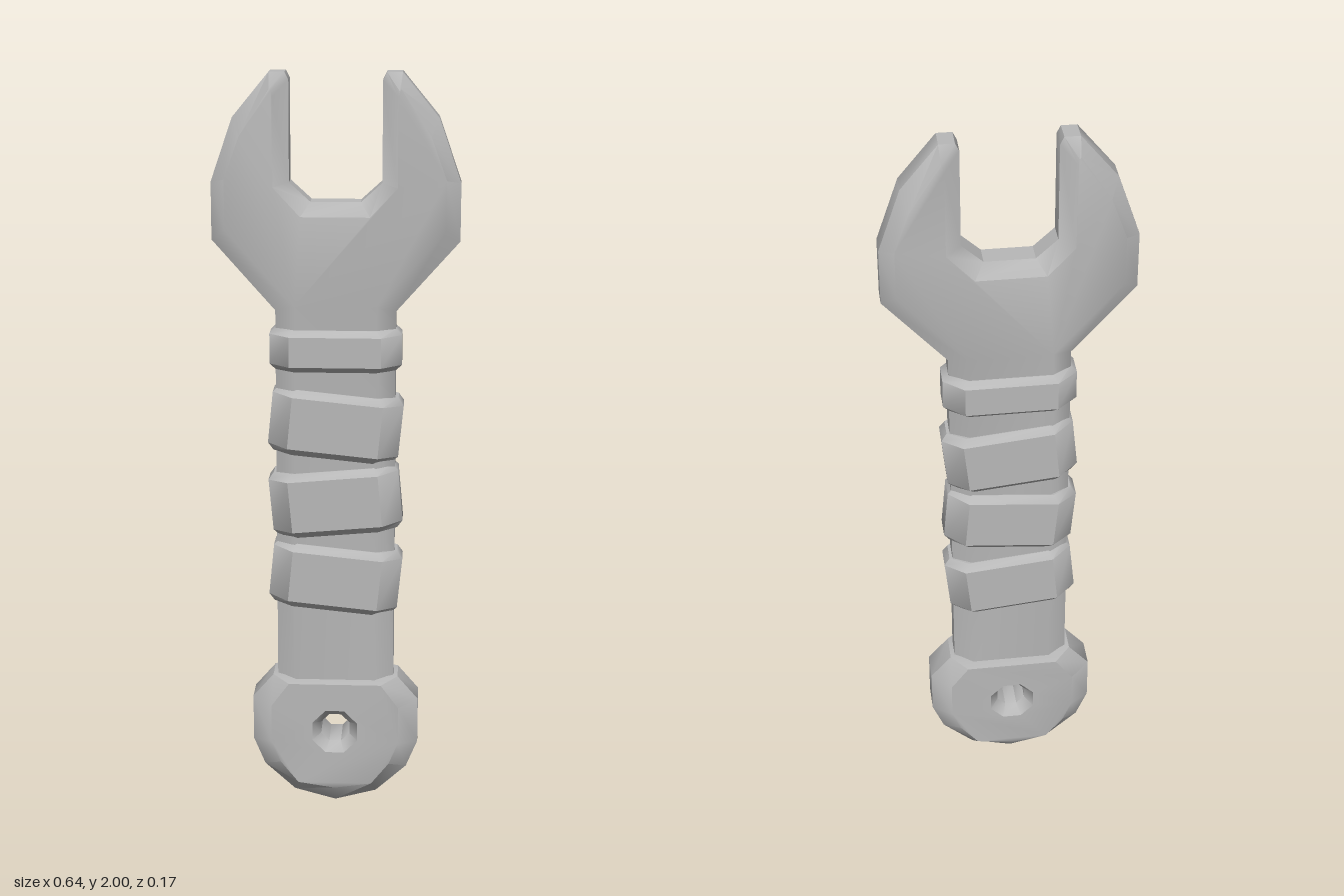
import * as THREE from 'three';
import { toCreasedNormals } from 'three/addons/utils/BufferGeometryUtils.js';

// Mirror the right half of an outline (bottom to top) into a closed counter-clockwise loop
const mirror = (half) => [
  ...half,
  ...half.filter(([x]) => x !== 0).reverse().map(([x, y]) => [-x, y]),
];

const circle = (r, cy, n) => Array.from({ length: n }, (_, i) => {
  const a = (i + 0.5) / n * Math.PI * 2;
  return [r * Math.cos(a), cy + r * Math.sin(a)];
});

// Slab with bevelled edges: rim outline at +-zRim, smaller face outline at +-zFace, optional bevelled hole
function bevelSlab(rim, face, zRim, zFace, hole) {
  const pos = [];
  const put = (p, z) => pos.push(p[0], p[1], z);
  const walls = (layers) => {
    for (let k = 0; k < layers.length - 1; k++) {
      const [a, za] = layers[k], [b, zb] = layers[k + 1];
      for (let i = 0; i < a.length; i++) {
        const j = (i + 1) % a.length;
        put(a[i], za); put(a[j], za); put(b[j], zb);
        put(a[i], za); put(b[j], zb); put(b[i], zb);
      }
    }
  };
  const sides = (r, f, zr) => walls([[f, -zFace], [r, -zr], [r, zr], [f, zFace]]);
  sides(rim, face, zRim);
  const holes = [];
  if (hole) {
    const inner = [...hole.inner].reverse(), outer = [...hole.outer].reverse();
    sides(inner, outer, hole.z);
    holes.push(outer);
  }
  // Front and back faces
  const vec = (loop) => loop.map(([x, y]) => new THREE.Vector2(x, y));
  const all = [face, ...holes].flat();
  for (const [a, b, c] of THREE.ShapeUtils.triangulateShape(vec(face), holes.map(vec))) {
    for (const i of [a, b, c]) put(all[i], zFace);
    for (const i of [a, c, b]) put(all[i], -zFace);
  }
  const geometry = new THREE.BufferGeometry();
  geometry.setAttribute('position', new THREE.Float32BufferAttribute(pos, 3));
  return toCreasedNormals(geometry, 0.72);
}

// Flattened octagon used as the section of collar and bands
const octagon = (w, d, faceW, edgeD) => mirror([[faceW, -d], [w, -edgeD], [w, edgeD], [faceW, d]]);

export function createModel() {
  const group = new THREE.Group();
  const steel = new THREE.MeshStandardMaterial({ color: 0xb8b8b8 });
  const add = (name, geometry) => {
    const mesh = new THREE.Mesh(geometry, steel);
    mesh.name = name;
    group.add(mesh);
    return mesh;
  };

  // Open jaw and shaft in one piece
  const bodyRim = mirror([
    [0.158, 0.3], [0.158, 1.385], [0.322, 1.57], [0.322, 1.72], [0.265, 1.885],
    [0.17, 2], [0.13, 2], [0.12, 1.98], [0.12, 1.72], [0.065, 1.67],
  ]);
  const bodyFace = mirror([
    [0.108, 0.3], [0.108, 1.4], [0.285, 1.6], [0.285, 1.73], [0.245, 1.84],
    [0.167, 1.96], [0.163, 1.955], [0.16, 1.94], [0.16, 1.71], [0.09, 1.635],
  ]);
  add('jawAndShaft', bevelSlab(bodyRim, bodyFace, 0.029, 0.061));

  // Rounded end with a hanging hole
  const endRim = mirror([
    [0, 0], [0.112, 0.03], [0.195, 0.105], [0.226, 0.18], [0.226, 0.305], [0.17, 0.37],
  ]);
  const endFace = mirror([
    [0, 0.055], [0.1, 0.07], [0.148, 0.13], [0.173, 0.19], [0.173, 0.295], [0.125, 0.36],
  ]);
  add('handleEnd', bevelSlab(endRim, endFace, 0.04, 0.086, {
    inner: circle(0.042, 0.222, 8), outer: circle(0.066, 0.222, 8), z: 0.055,
  }));

  // Collar below the jaw and the tilted grip bands
  const ring = (name, y, tilt, rimHalf, half) => {
    const geometry = bevelSlab(
      octagon(0.174, 0.08, 0.12, 0.032), octagon(0.158, 0.063, 0.108, 0.028), rimHalf, half);
    const mesh = add(name, geometry.rotateX(-Math.PI / 2));
    mesh.position.y = y;
    mesh.rotation.z = tilt;
  };
  ring('collar', 1.283, 0, 0.04, 0.056);
  [[1.08, -0.1], [0.87, 0.09], [0.655, -0.1]].forEach(([y, tilt], i) =>
    ring(`gripBand${i + 1}`, y, tilt, 0.07, 0.089));

  return group;
}
